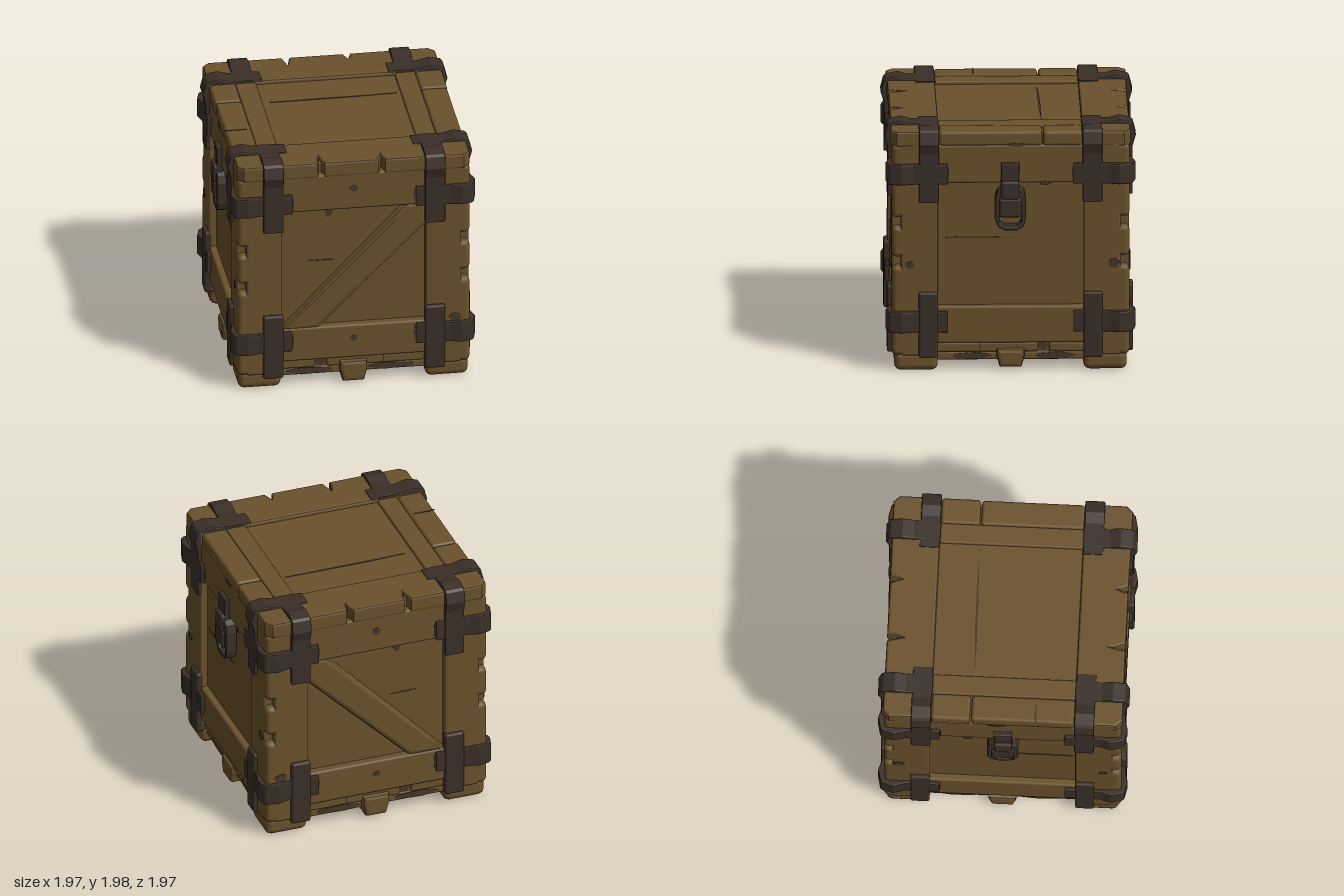
import * as THREE from 'three';
import { RoundedBoxGeometry } from 'three/addons/geometries/RoundedBoxGeometry.js';

const mat = (name, color) => Object.assign(new THREE.MeshStandardMaterial({ color }), { name });

export function createModel() {
  const wood = mat('wood', 0x6a512b);
  const iron = mat('dark iron', 0x3a2f27);
  const worn = mat('worn wood', 0x443628);
  const model = new THREE.Group();
  model.name = 'crate';
  const signs = [-1, 1];

  const add = (name, geo, material) => {
    const m = new THREE.Mesh(geo, material);
    m.name = name;
    model.add(m);
    return m;
  };

  // Soft-edged block given by its extents on each axis
  const block = (name, x, y, z, material = wood, r = 0.018) => {
    const size = [x, y, z].map(([a, b]) => Math.abs(b - a));
    const geo = new RoundedBoxGeometry(...size, 2, Math.min(r, Math.min(...size) * 0.45));
    geo.translate((x[0] + x[1]) / 2, (y[0] + y[1]) / 2, (z[0] + z[1]) / 2);
    return add(name, geo, material);
  };
  const flip = (s, a, b) => [s * a, s * b];

  // Bevelled outline in plane 'xy', 'xz' or 'zy', centred at c along the third axis
  const slab = (name, plane, pts, c, depth, material = wood, bevel = 0.01, hole) => {
    const toV = p => new THREE.Vector2(...p);
    const shape = new THREE.Shape(pts.map(toV));
    if (hole) shape.holes.push(new THREE.Path(hole.map(toV)));
    const geo = new THREE.ExtrudeGeometry(shape, {
      depth: depth - 2 * bevel, bevelEnabled: bevel > 0, bevelSize: bevel,
      bevelThickness: bevel, bevelOffset: -bevel, bevelSegments: 2, curveSegments: 8,
    });
    geo.translate(0, 0, bevel - depth / 2);
    if (plane === 'xz') geo.rotateX(Math.PI / 2).translate(0, c, 0);
    else if (plane === 'zy') geo.rotateY(-Math.PI / 2).translate(c, 0, 0);
    else geo.translate(0, 0, c);
    return add(name, geo, material);
  };

  // Thin painted details
  const crack = (plane, a, b, c, w = 0.009) => {
    const dx = b[0] - a[0], dy = b[1] - a[1], l = Math.hypot(dx, dy);
    const at = (t, k) => [a[0] + dx * t - dy / l * k * w, a[1] + dy * t + dx / l * k * w];
    slab('crack', plane, [at(0, 0), at(0.3, -1), at(0.7, -0.6), at(1, 0), at(0.6, 0.7), at(0.2, 0.5)], c, 0.006, worn, 0);
  };
  const patch = (plane, x, y, c, rx, ry, material = worn) => {
    const k = [1, 1.05, 0.9, 1.1, 0.95, 1, 0.9, 1.08, 0.95, 1.05];
    slab('wornPatch', plane, k.map((r, i) => [x + rx * r * Math.cos(i * Math.PI / 5), y + ry * r * Math.sin(i * Math.PI / 5)]), c, 0.006, material, 0);
  };

  // Inner box forming the recessed panels
  block('panelBox', [-0.86, 0.86], [0.13, 1.92], [-0.86, 0.86], wood, 0.01);

  // Corner posts with a chipped outer edge
  for (const sx of signs) for (const sz of signs) {
    block('cornerPost', flip(sx, 0.57, 0.92), [0.13, 1.85], flip(sz, 0.57, 0.86));
    block('cornerPost', flip(sx, 0.57, 0.85), [0.13, 1.85], flip(sz, 0.57, 0.93));
    for (const y of [[0.13, 0.86], [0.93, 1.18], [1.25, 1.85]])
      block('postEdge', flip(sx, 0.78, 0.92), y, flip(sz, 0.78, 0.93), wood, 0.04);
    block('cornerFoot', flip(sx, 0.57, 0.91), [0.005, 0.16], flip(sz, 0.57, 0.91), wood, 0.05);
  }

  // Rails, base boards and feet on all four sides
  for (const s of signs) {
    block('topRail', [-0.6, 0.6], [1.53, 1.84], flip(s, 0.8, 0.925));
    block('bottomRail', [-0.6, 0.6], [0.23, 0.515], flip(s, 0.8, 0.925));
    block('sideTopRail', flip(s, 0.8, 0.915), [1.53, 1.84], [-0.6, 0.6]);
    block('sideBottomRail', flip(s, 0.8, 0.915), [0.23, 0.53], [-0.6, 0.6]);
    for (const [a, b] of [[-0.6, -0.3], [-0.21, 0.25], [0.23, 0.6]]) {
      block('baseBoard', [a, b], [0.15, 0.23], flip(s, 0.75, 0.895));
      block('sideBaseBoard', flip(s, 0.75, 0.89), [0.15, 0.23], [a, b]);
    }
    block('skirt', [-0.7, 0.7], [0.08, 0.15], flip(s, 0.6, 0.87));
    block('sideSkirt', flip(s, 0.6, 0.865), [0.08, 0.15], [-0.7, 0.7]);
    slab('middleFoot', 'xy', [[-0.085, 0.02], [0.085, 0.02], [0.11, 0.12], [0.11, 0.2], [-0.11, 0.2], [-0.11, 0.12]],
      s * 0.79, 0.28, wood, 0.03);
    slab('sideMiddleFoot', 'zy', [[-0.085, 0.03], [0.085, 0.03], [0.11, 0.12], [0.11, 0.18], [-0.11, 0.18], [-0.11, 0.12]],
      s * 0.78, 0.28, wood, 0.03);
  }
  // Crossed runners under the floor
  block('runner', [-0.07, 0.07], [0.05, 0.15], [-0.8, 0.8], wood, 0.03);
  block('crossRunner', [-0.8, 0.8], [0.06, 0.15], [-0.07, 0.07], wood, 0.03);

  // Diagonal braces front and back
  for (const s of signs)
    slab('diagonalBrace', 'xy', [[-0.58, 0.5], [-0.28, 0.5], [0.58, 1.36], [0.58, 1.55], [0.42, 1.55]], s * 0.868, 0.11, wood, 0.035);

  // Lid boards with split edges
  for (const s of signs) {
    const edge = [[-0.92, 0.56], [0.92, 0.56], [0.92, 0.89], [0.87, 0.94], [0.25, 0.935], [0.225, 0.85], [0.195, 0.935],
      [-0.23, 0.935], [-0.26, 0.81], [-0.285, 0.935], [-0.87, 0.94], [-0.92, 0.89]];
    slab('lidBoard', 'xz', edge.map(([x, z]) => [x, z * s]), 1.888, 0.13, wood, 0.018);
    block('lidStrip', flip(s, 0.55, 0.71), [1.83, 1.945], [-0.56, 0.56], wood, 0.012);
    block('lidSide', flip(s, 0.71, 0.92), [1.83, 1.95], [-0.56, -0.255], wood, 0.025);
    block('lidSide', flip(s, 0.71, 0.915), [1.83, 1.95], [-0.245, 0.56], wood, 0.025);
  }

  // Bent iron straps: an L profile round the edge at (e1, e2), with a hammered ridge on each arm
  const strap = (plane, e1, s1, a0, e2, s2, b0, c, w, name = 'cornerStrap') => {
    const p = [[a0, e2 - 0.02], [a0, e2 + 0.016], [e1 - 0.17, e2 + 0.02], [e1 - 0.085, e2 + 0.042], [e1 + 0.005, e2 + 0.022],
      [e1 + 0.022, e2 + 0.005], [e1 + 0.045, e2 - 0.085], [e1 + 0.02, e2 - 0.17], [e1 + 0.02, b0], [e1 - 0.02, b0], [e1 - 0.02, e2 - 0.02]];
    slab(name, plane, p.map(([a, b]) => [a * s1, b * s2]), c, w, iron, 0.01);
  };
  for (const sx of signs) for (const sz of signs) {
    strap('xz', 0.925, sx, 0.49, 0.935, sz, 0.49, 1.61, 0.165);
    strap('xz', 0.925, sx, 0.49, 0.935, sz, 0.49, 0.41, 0.17);
    strap('zy', 0.94, sz, 0.56, 1.945, 1, 1.38, sx * 0.64, 0.16, 'frontTopStrap');
    strap('xy', 0.925, sx, 0.5, 1.945, 1, 1.38, sz * 0.64, 0.155, 'sideTopStrap');
    block('frontBottomStrap', flip(sx, 0.56, 0.72), [0.105, 0.65], flip(sz, 0.89, 0.963), iron, 0.018);
    block('sideBottomStrap', flip(sx, 0.88, 0.952), [0.12, 0.65], flip(sz, 0.57, 0.72), iron, 0.018);
    // Rounded stains at the strap ends
    for (const y of [1.61, 0.41]) patch('xy', sx * 0.505, y, sz * 0.927, 0.03, 0.085, iron);
    patch('zy', sz * 0.505, 1.61, sx * 0.917, 0.025, 0.085, iron);
  }

  // Hasp and clasp ring on each side
  for (const s of signs) {
    slab('hasp', 'zy', [[-0.06, 1.42], [0.08, 1.42], [0.075, 1.7], [-0.07, 1.7]], s * 0.93, 0.05, iron, 0.012);
    block('haspFold', flip(s, 0.91, 0.985), [1.41, 1.56], [-0.065, 0.075], iron, 0.02);
    slab('claspRing', 'zy', [[-0.05, 1.155], [0.05, 1.155], [0.1, 1.185], [0.125, 1.25], [0.125, 1.42], [0.105, 1.48], [0.06, 1.515],
      [-0.06, 1.515], [-0.105, 1.48], [-0.12, 1.42], [-0.12, 1.25], [-0.1, 1.185]], s * 0.915, 0.09, iron, 0.012,
      [[-0.05, 1.195], [0.05, 1.195], [0.085, 1.22], [0.092, 1.27], [-0.085, 1.27], [-0.078, 1.22]]);
    block('claspBody', flip(s, 0.9, 0.98), [1.265, 1.42], [-0.085, 0.09], iron, 0.02);
  }

  // Cracks and worn spots
  for (const s of signs) {
    crack('xy', [-0.35, 1.07], [-0.13, 1.065], s * 0.861);
    crack('zy', [0.55, 1.075], [-0.03, 1.075], s * 0.861);
    patch('xy', 0, 1.71, s * 0.926, 0.03, 0.028);
    patch('xy', 0, 0.4, s * 0.926, 0.028, 0.025);
    patch('xy', -0.19, 1.49, s * 0.861, 0.03, 0.045);
    patch('xy', 0.8, 0.53, s * 0.931, 0.05, 0.035);
    patch('zy', -0.05, 1.842, s * 0.917, 0.07, 0.015);
    patch('zy', -0.27, 1.53, s * 0.916, 0.04, 0.015);
    patch('zy', 0.79, 0.87, s * 0.921, 0.035, 0.03);
    patch('zy', -0.81, 0.88, s * 0.921, 0.045, 0.04);
    // Grime on the recessed base
    for (const u of [-0.35, 0.3]) {
      patch('xy', u, 0.115, s * 0.871, 0.18, 0.028);
      patch('zy', u, 0.115, s * 0.866, 0.15, 0.028);
    }
    patch('xy', -0.255, 0.19, s * 0.861, 0.04, 0.035);
    patch('zy', -0.255, 0.19, s * 0.861, 0.04, 0.035);
    patch('xz', s * 0.16, -0.29, 0.129, 0.08, 0.09);
    patch('xz', s * 0.15, 0.5, 0.129, 0.07, 0.09);
    patch('xz', s * 0.5, 0.52, 0.129, 0.08, 0.07);
  }
  crack('xz', [-0.49, -0.235], [0.52, -0.25], 1.921, 0.011);
  crack('xz', [-0.92, 0.26], [-0.74, 0.255], 1.951, 0.01);
  return model;
}
